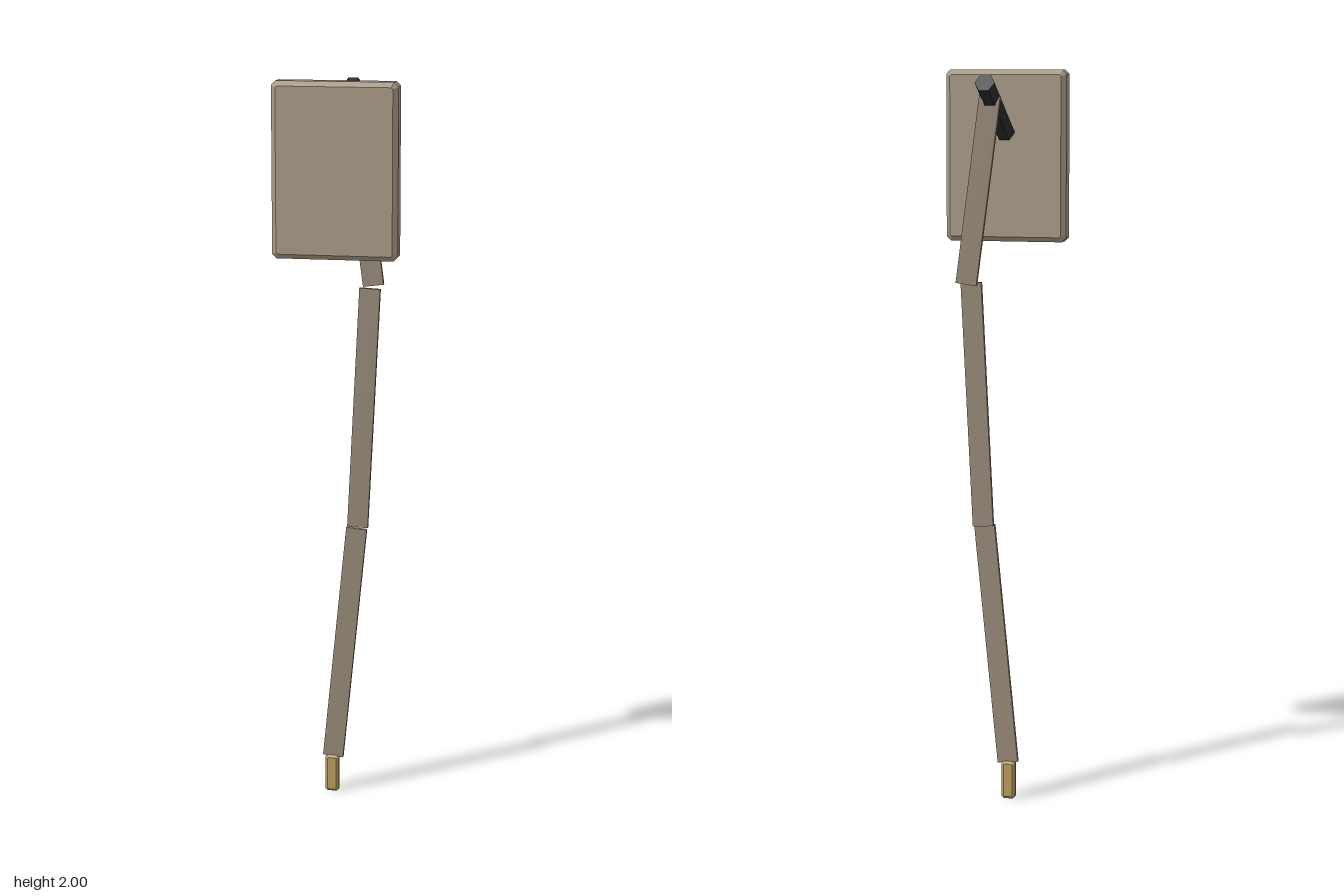
import * as THREE from 'three';

const paint = (color) => new THREE.MeshStandardMaterial({ color, flatShading: true });

// Box with every edge cut by one chamfer of size b
function chamferBox(w, h, d, b) {
  const x = w / 2 - b, y = h / 2 - b, c = b * 0.3;
  const shape = new THREE.Shape([
    [x - c, -y], [x, -y + c], [x, y - c], [x - c, y],
    [-x + c, y], [-x, y - c], [-x, -y + c], [-x + c, -y],
  ].map(([px, py]) => new THREE.Vector2(px, py)));
  const geometry = new THREE.ExtrudeGeometry(shape, {
    depth: d - 2 * b, bevelThickness: b, bevelSize: b, bevelSegments: 1,
  });
  return geometry.translate(0, 0, -(d - 2 * b) / 2);
}

export function createModel() {
  const model = new THREE.Group();
  model.name = 'wristBandWithPanel';

  const add = (name, geometry, material, x, y, z) => {
    const mesh = new THREE.Mesh(geometry, material);
    mesh.name = name;
    mesh.position.set(x, y, z);
    model.add(mesh);
    return mesh;
  };

  const panelPaint = paint(0xa89986);
  const strapPaint = paint(0x968978);
  const rodPaint = paint(0x2b2b2b);
  const tipPaint = paint(0xb89c62);

  // Chamfered panel at the top front
  add('panel', chamferBox(0.334, 0.463, 0.065, 0.013), panelPaint, 0, 1.7685, 0.1215);

  // Hexagonal rod rising backwards from the panel
  const low = new THREE.Vector3(0, 1.832, 0.092);
  const high = new THREE.Vector3(0, 1.968, -0.143);
  const rodGeometry = new THREE.CylinderGeometry(0.0268, 0.0268, low.distanceTo(high), 6);
  rodGeometry.rotateY(Math.PI / 6);
  const rod = add('rod', rodGeometry, rodPaint, 0, 1.9, -0.0255);
  rod.quaternion.setFromUnitVectors(
    new THREE.Vector3(0, 1, 0), high.clone().sub(low).normalize());

  // Three flat strap lengths: [name, bottom x, bottom y, top x, top y, z]
  const straps = [
    ['lowerStrap', -0.034, 0.104, 0.032, 0.77, -0.0135],
    ['middleStrap', 0.032, 0.77, 0.065, 1.435, -0.029],
    ['upperStrap', 0.066, 1.435, 0.0, 1.935, -0.0795],
  ];
  for (const [name, x0, y0, x1, y1, z] of straps) {
    const length = Math.hypot(x1 - x0, y1 - y0);
    const strap = add(name, new THREE.BoxGeometry(0.057, length, 0.0125),
      strapPaint, (x0 + x1) / 2, (y0 + y1) / 2, z);
    strap.rotation.z = -Math.atan2(x1 - x0, y1 - y0);
  }

  // Metal tip at the foot of the strap
  add('tip', chamferBox(0.038, 0.107, 0.026, 0.007), tipPaint, -0.036, 0.0535, -0.0135);

  return model;
}
